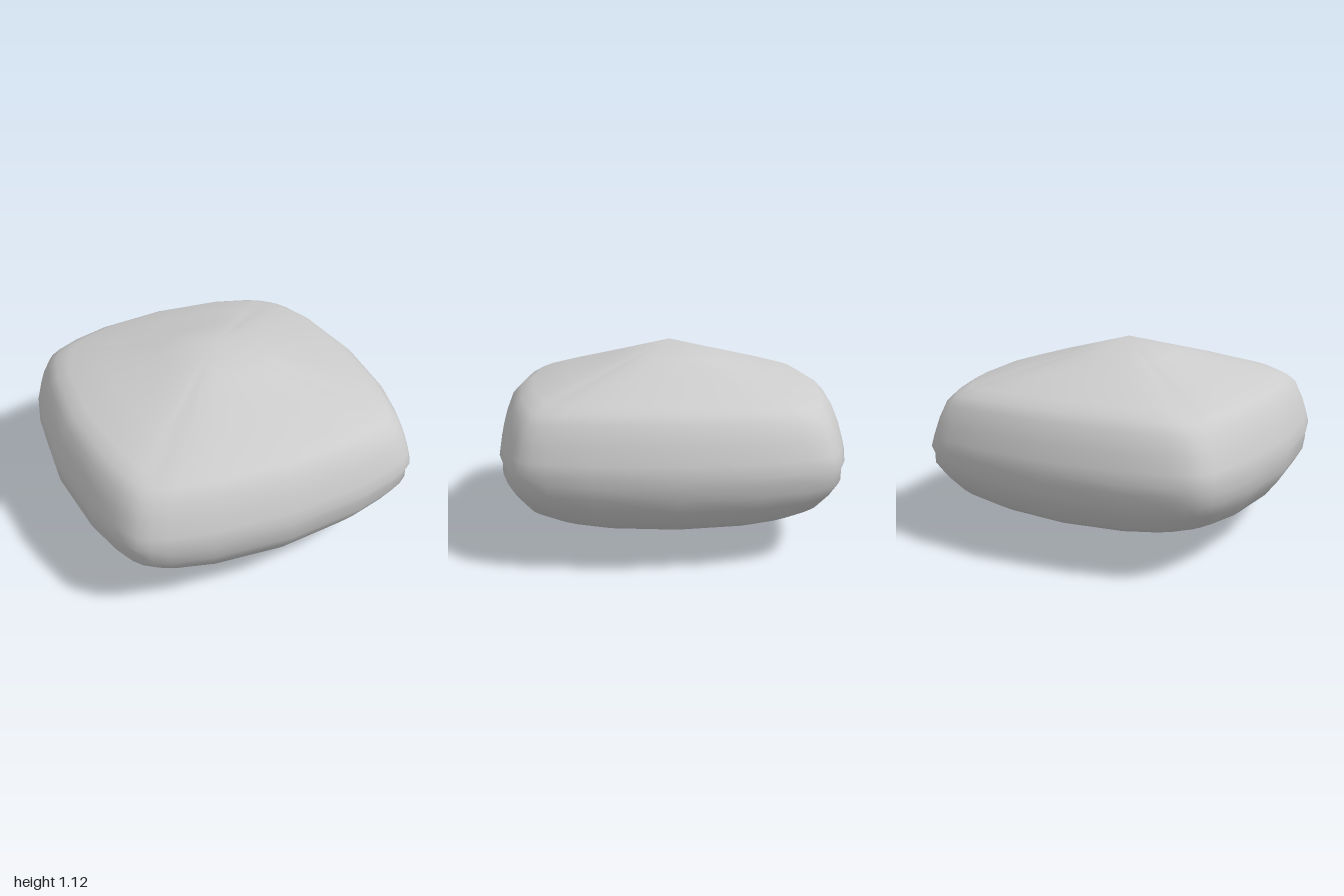
import * as THREE from 'three';

// Half-width and height of each ring, from the crown down to the base
const RINGS = [
  [0, 1.12], [0.3, 1.04], [0.6, 0.96], [0.8, 0.9], [0.87, 0.86], [0.92, 0.81], [0.96, 0.71],
  [0.985, 0.62], [1, 0.55], [0.985, 0.5], [0.985, 0.44], [0.94, 0.36], [0.87, 0.27],
  [0.78, 0.215], [0.6, 0.15], [0.3, 0.075], [0, 0],
];

// One bulging side of the unit outline, running left to right; the corner ends it
const HALF = [[0, 1], [0.45, 0.96], [0.68, 0.905], [0.77, 0.87], [0.83, 0.83]];
const SIDE = [...HALF.slice(1, 4).reverse().map(([x, z]) => [-x, z]), ...HALF];
const MIDDLE = 0.55;

function cushionGeometry() {
  // Turn the side four times to make the full outline
  const outline = [];
  for (let k = 0; k < 4; k++) {
    const c = Math.round(Math.cos(k * Math.PI / 2));
    const s = Math.round(Math.sin(k * Math.PI / 2));
    for (const [x, z] of SIDE) {
      outline.push({ x: x * c + z * s, z: z * c - x * s, corner: (Math.abs(x) / 0.83) ** 3 });
    }
  }
  const n = outline.length;
  const last = RINGS.length - 1;
  const positions = [];
  const starts = [];

  // Rings pinch gently towards mid height at the corners
  RINGS.forEach(([size, y], i) => {
    starts.push(positions.length / 3);
    if (size === 0) {
      positions.push(0, y, 0);
      return;
    }
    for (const p of outline) {
      const pinch = 1 - 0.1 * size * p.corner;
      positions.push(p.x * size, MIDDLE + (y - MIDDLE) * pinch, p.z * size);
    }
  });

  // Skin between rings, with a fan at each pole
  const index = [];
  const at = (i, j) => starts[i] + (i === 0 || i === last ? 0 : j % n);
  for (let i = 0; i < last; i++) {
    for (let j = 0; j < n; j++) {
      const a = at(i, j), b = at(i, j + 1), c = at(i + 1, j + 1), d = at(i + 1, j);
      if (i < last - 1) index.push(a, d, c);
      if (i > 0) index.push(a, c, b);
    }
  }
  const geometry = new THREE.BufferGeometry();
  geometry.setAttribute('position', new THREE.Float32BufferAttribute(positions, 3));
  geometry.setIndex(index);
  geometry.computeVertexNormals();
  return geometry;
}

export function createModel() {
  const group = new THREE.Group();
  group.name = 'cushion';
  const fabric = new THREE.MeshStandardMaterial({ color: 0xcccccc });
  fabric.name = 'light grey fabric';
  const body = new THREE.Mesh(cushionGeometry(), fabric);
  body.name = 'cushionBody';
  group.add(body);
  return group;
}
